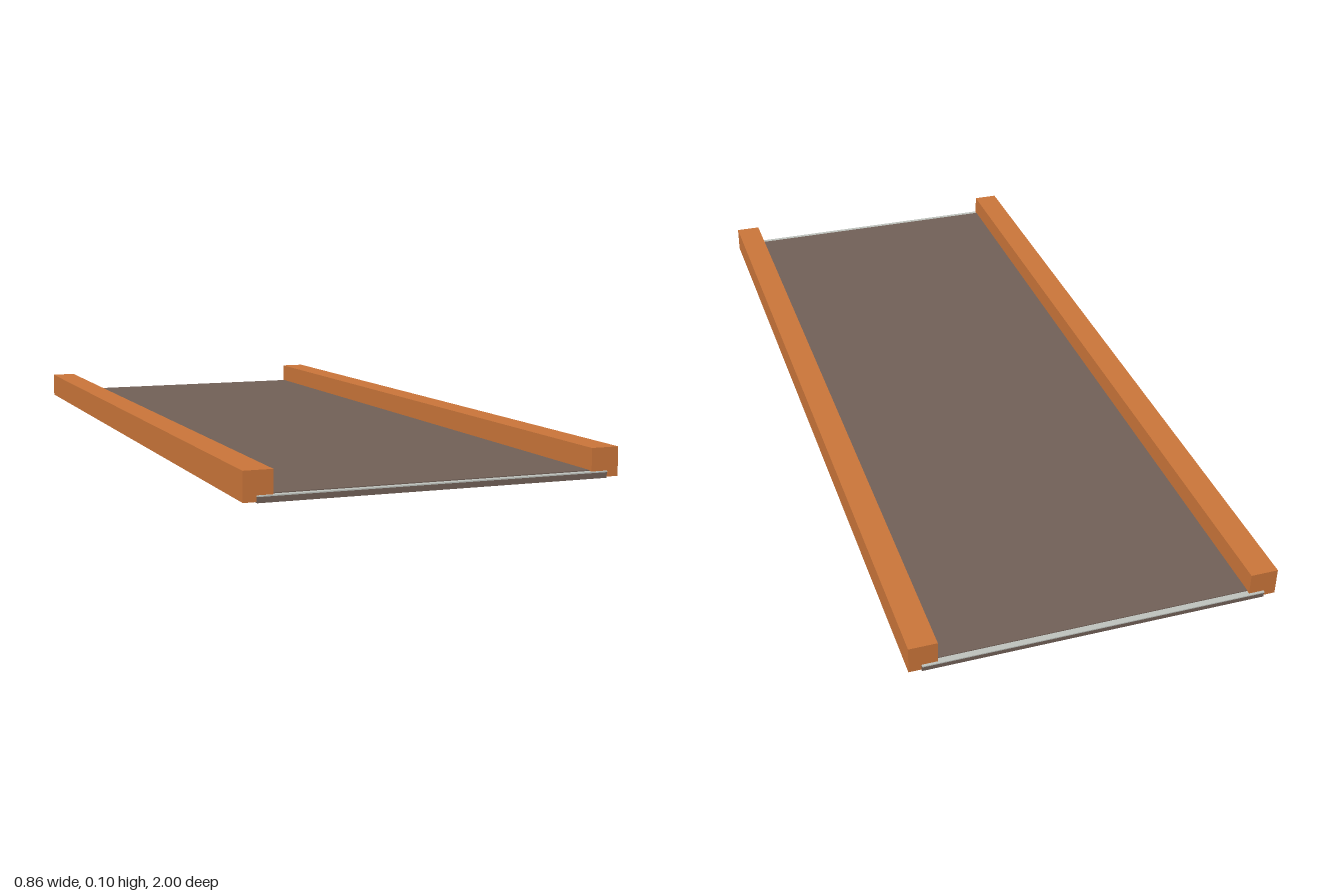
import * as THREE from 'three';

export function createModel() {
  const wood = new THREE.MeshStandardMaterial({ color: 0xc87439 });
  wood.name = 'orangeWood';
  const brown = new THREE.MeshStandardMaterial({ color: 0x705f56 });
  brown.name = 'brownDeck';
  const grey = new THREE.MeshStandardMaterial({ color: 0xbcc0bb });
  grey.name = 'paleGrey';

  const model = new THREE.Group();
  model.name = 'slopingDeck';

  // Everything lies on one plane that rises gently toward the front
  const ramp = new THREE.Group();
  ramp.name = 'ramp';
  ramp.rotation.x = -0.0185;
  ramp.position.y = 0.0195;
  model.add(ramp);

  // Box given by its width, length, centre x and bottom and top heights
  function slab(name, material, width, length, x, bottom, top) {
    const mesh = new THREE.Mesh(new THREE.BoxGeometry(width, top - bottom, length), material);
    mesh.name = name;
    mesh.position.set(x, (bottom + top) / 2, 0);
    ramp.add(mesh);
  }

  // Layered deck: the grey middle sheet shows as a strip at both ends
  slab('deckBase', brown, 0.8, 1.994, 0, -0.001, 0.012);
  slab('deckMiddleSheet', grey, 0.8, 2, 0, 0.012, 0.0145);
  slab('deckSurface', brown, 0.8, 1.97, 0, 0.0145, 0.0165);

  // Square side rails
  for (const [name, side] of [['leftRail', 1], ['rightRail', -1]]) {
    slab(name, wood, 0.065, 1.988, side * 0.3965, 0.001, 0.066);
  }

  return model;
}
